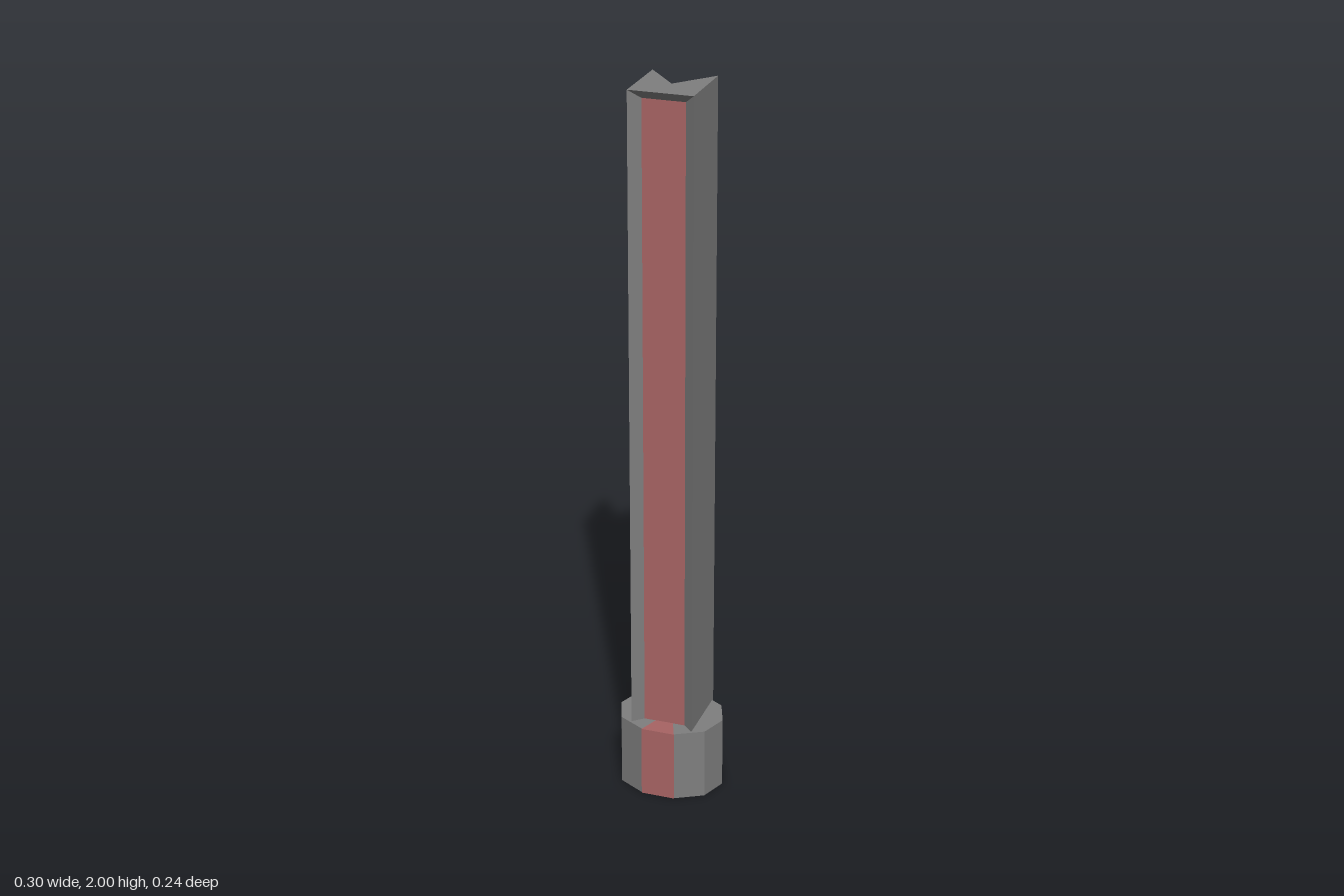
import * as THREE from 'three';

const grey = new THREE.MeshStandardMaterial({ color: 0x7f7f7f, flatShading: true });
const red = new THREE.MeshStandardMaterial({ color: 0xa86464, flatShading: true, side: THREE.DoubleSide });

// Vertical prism from an outline given as [x, z] points
function prism(outline, y0, y1) {
  const shape = new THREE.Shape(outline.map(([x, z]) => new THREE.Vector2(x, -z)));
  const geometry = new THREE.ExtrudeGeometry(shape, { depth: y1 - y0, bevelEnabled: false });
  return geometry.rotateX(-Math.PI / 2).translate(0, y0, 0);
}

// Outline mirrored in x from its right half
const mirrored = (half) => [...half, ...half.filter(([x]) => x > 0).reverse().map(([x, z]) => [-x, z])];

// Flat-shaded surface from polygons, each split into a fan of triangles
function faceted(polygons) {
  const corners = polygons.flatMap((p) => p.slice(2).flatMap((c, i) => [p[0], p[i + 1], c]));
  const geometry = new THREE.BufferGeometry();
  geometry.setAttribute('position', new THREE.Float32BufferAttribute(corners.flat(), 3));
  geometry.computeVertexNormals();
  return geometry;
}

export function createModel() {
  const group = new THREE.Group();
  const add = (name, geometry, material) => {
    const mesh = new THREE.Mesh(geometry, material);
    mesh.name = name;
    group.add(mesh);
    return mesh;
  };

  // Ten-sided foot
  add('foot', prism(mirrored([[0.047, 0.115], [0.121, 0.074], [0.149, 0], [0.121, -0.075], [0.047, -0.119]]), 0, 0.205), grey);

  // Red inlay on the front facet of the foot
  add('footInlay', prism(mirrored([[0.025, 0.062], [0.047, 0.1185]]), 0.001, 0.206), red);

  // Shaft: two tapered side posts joined by a notched cap, bevelled towards the panel
  const half = 0.087, back = -0.105, panelHalf = 0.058, panelZ = 0.061, panelTop = 1.975;
  const base = 0.002, top = 2;
  const mirror = ([x, y, z]) => [-x, y, z];
  const tip = [half, top, back], tipLow = [half, base, back];
  const front = [half, top, half], frontLow = [half, base, half];
  const inner = [panelHalf, panelTop, panelZ], innerLow = [panelHalf, base, panelZ];
  const apex = [0, top, 0];
  const side = [
    [tip, front, frontLow, tipLow], // outer wall
    [front, inner, innerLow, frontLow], // front bevel
    [inner, tip, tipLow, innerLow], // inner wall
    [tip, inner, apex], // sloping underside of the cap
    [apex, front, tip], // cap top
    [tipLow, frontLow, innerLow], // post bottom
  ];
  const centre = [
    [apex, mirror(front), front], // cap top
    [front, mirror(front), mirror(inner), inner], // top bevel
    [apex, inner, mirror(inner)], // underside behind the panel
  ];
  const otherSide = side.map((polygon) => polygon.map(mirror).reverse());
  add('shaft', faceted([...side, ...otherSide, ...centre]), grey);

  // Red panel between the posts, seen from the front and through the rear groove
  const panelHeight = panelTop - 0.2;
  add('panel', new THREE.PlaneGeometry(panelHalf * 2, panelHeight), red)
    .position.set(0, 0.2 + panelHeight / 2, panelZ);

  return group;
}
